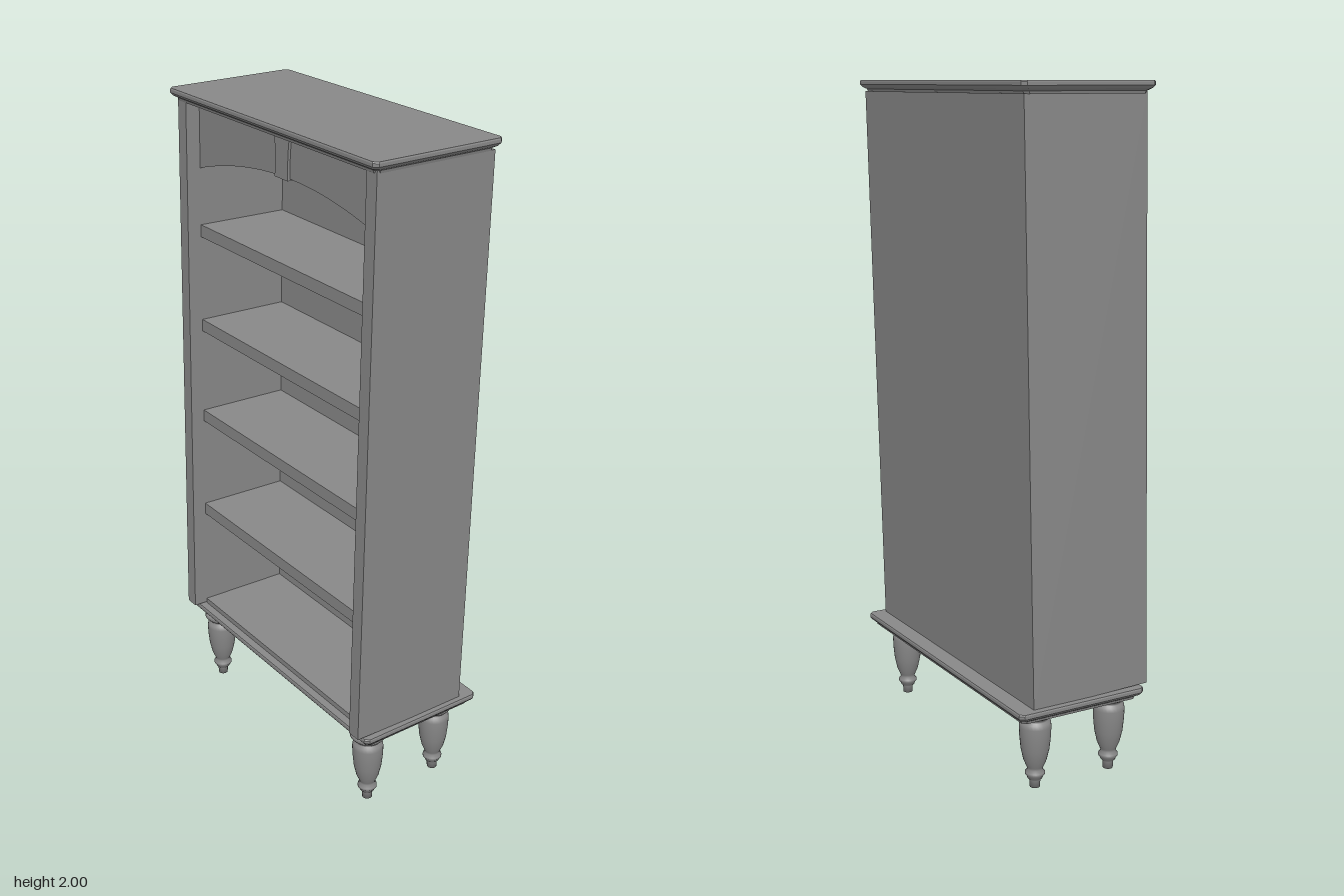
import * as THREE from 'three';

const material = new THREE.MeshStandardMaterial({ color: 0x888888 });
const smooth = new THREE.MeshStandardMaterial({ color: 0x888888, side: THREE.DoubleSide });

function add(parent, name, geometry, x = 0, y = 0, z = 0, mat = material) {
  const mesh = new THREE.Mesh(geometry, mat);
  mesh.name = name;
  mesh.position.set(x, y, z);
  parent.add(mesh);
  return mesh;
}

// Box given by its limits on each axis
function box(parent, name, x0, x1, y0, y1, z0, z1) {
  return add(parent, name, new THREE.BoxGeometry(x1 - x0, y1 - y0, z1 - z0),
    (x0 + x1) / 2, (y0 + y1) / 2, (z0 + z1) / 2);
}

// Moulded board: clipped rectangle lofted through [height, inset] layers
function mouldedBoard(halfX, halfZ, layers, clip = 0.012) {
  const positions = [], index = [], n = 8;
  for (const [y, inset] of layers) {
    const a = halfX - inset, b = halfZ - inset, c = clip;
    for (const [x, z] of [[a, b - c], [a, c - b], [a - c, -b], [c - a, -b],
      [-a, c - b], [-a, b - c], [c - a, b], [a - c, b]]) positions.push(x, y, z);
  }
  const last = (layers.length - 1) * n;
  for (let k = 0; k < last; k += n) {
    for (let i = 0; i < n; i++) {
      const j = (i + 1) % n;
      index.push(k + i, k + j, k + n + j, k + i, k + n + j, k + n + i);
    }
  }
  for (let i = 1; i < n - 1; i++) {
    index.push(0, i + 1, i, last, last + i, last + i + 1);
  }
  const indexed = new THREE.BufferGeometry();
  indexed.setAttribute('position', new THREE.Float32BufferAttribute(positions, 3));
  indexed.setIndex(index);
  const geometry = indexed.toNonIndexed();
  geometry.computeVertexNormals();
  return geometry;
}

export function createModel() {
  const model = new THREE.Group();
  model.name = 'bookcase';

  // Top and base boards
  const moulding = [[0, 0.018], [0.008, 0.016], [0.014, 0.006], [0.022, 0], [0.031, 0], [0.035, 0.002]];
  const board = mouldedBoard(0.496, 0.21, moulding);
  add(model, 'topBoard', board, -0.001, 1.965, -0.01);
  add(model, 'baseBoard', board, -0.001, 0.238, -0.01);

  // Turned legs
  const legProfile = new THREE.LatheGeometry([
    [0, 0], [0.015, 0], [0.016, 0.022], [0.022, 0.028], [0.024, 0.034], [0.029, 0.04],
    [0.029, 0.047], [0.022, 0.055], [0.025, 0.064], [0.034, 0.085], [0.042, 0.12], [0.046, 0.16],
    [0.047, 0.19], [0.045, 0.203], [0.037, 0.208], [0.037, 0.214], [0.046, 0.22],
    [0.054, 0.23], [0.052, 0.241], [0, 0.241],
  ].map(([r, y]) => new THREE.Vector2(r, y)), 28);
  for (const x of [-0.4, 0.42]) {
    for (const z of [0.138, -0.116]) add(model, z > 0 ? 'frontLeg' : 'backLeg', legProfile, x, 0, z, smooth);
  }

  // Case, leaning slightly backwards
  const body = new THREE.Group();
  body.name = 'case';
  body.position.set(0.001, 0.273, 0.026);
  body.rotation.x = -0.023;
  model.add(body);

  const inner = 0.433, outer = 0.476, front = 0.193, back = -0.192, top = 1.698;
  const rear = back + 0.045, recess = front - 0.045;
  box(body, 'leftSide', inner, outer, 0, top, back, front);
  box(body, 'rightSide', -outer, -inner, 0, top, back, front);
  box(body, 'backPanel', -inner, inner, 0, top, back, rear);
  box(body, 'floor', -inner, inner, -0.015, 0.013, rear, recess);
  for (const y of [0.373, 0.706, 1.012, 1.315]) {
    box(body, 'shelf', -inner, inner, y - 0.038, y, rear, recess);
  }

  // Arched valance
  const arch = new THREE.Shape();
  arch.moveTo(-inner, 1.489);
  arch.quadraticCurveTo(0.01, 1.63, inner, 1.509);
  arch.lineTo(inner, 1.692);
  arch.lineTo(-inner, 1.692);
  const depth = 0.022;
  add(body, 'valance', new THREE.ExtrudeGeometry(arch, { depth, bevelEnabled: false, curveSegments: 24 }),
    0, 0, recess - depth);

  // Waisted keystone in the middle of the arch
  const key = new THREE.Shape();
  key.moveTo(-0.028, 1.56);
  key.lineTo(0.035, 1.56);
  key.quadraticCurveTo(0.032, 1.625, 0.042, 1.69);
  key.lineTo(-0.033, 1.69);
  key.quadraticCurveTo(-0.022, 1.625, -0.028, 1.56);
  add(body, 'keystone', new THREE.ExtrudeGeometry(key, { depth: 0.03, bevelEnabled: false, curveSegments: 8 }),
    0, 0, recess - depth);

  return model;
}
